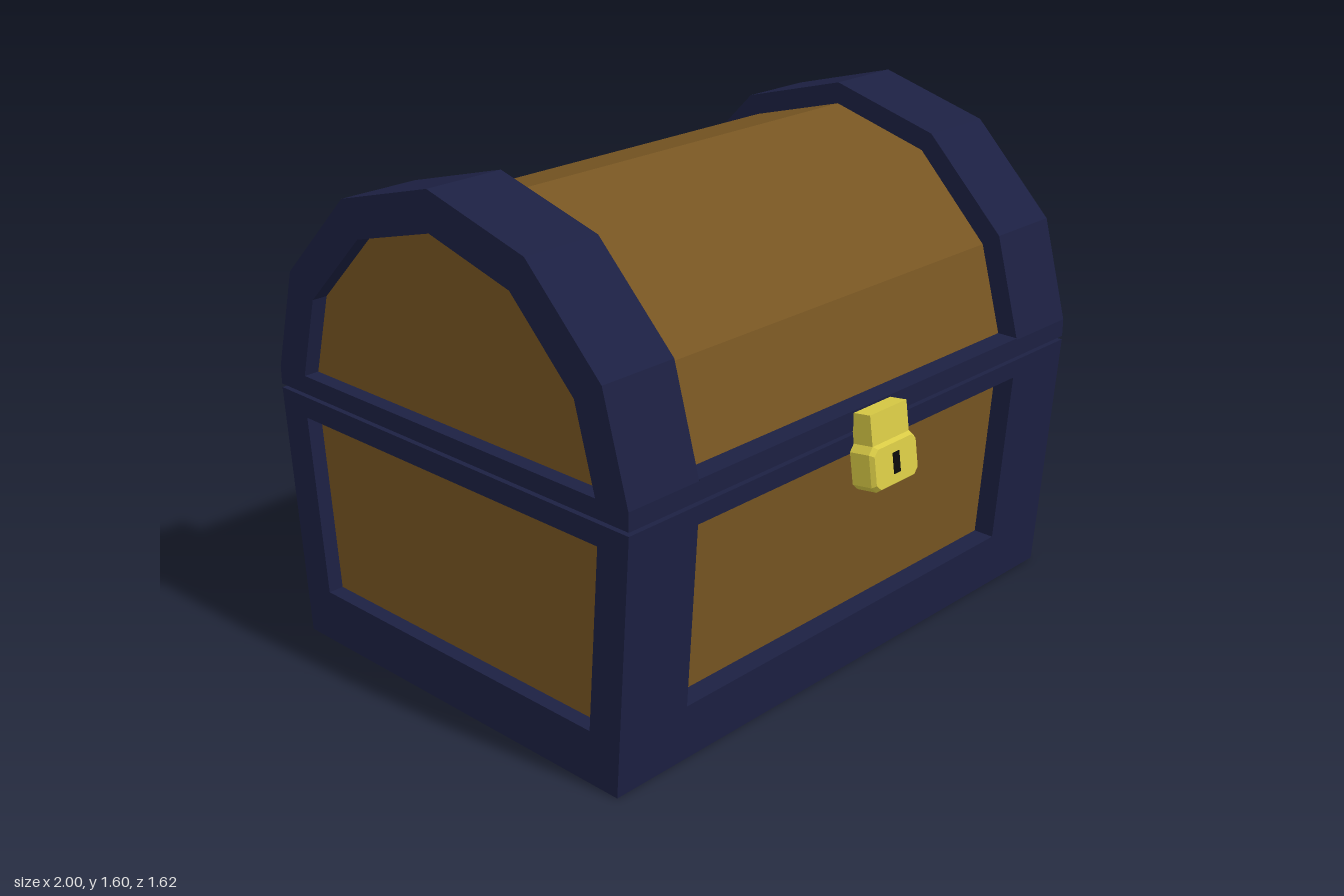
import * as THREE from 'three';

const navy = new THREE.MeshStandardMaterial({ color: 0x1c2042, flatShading: true });
const wood = new THREE.MeshStandardMaterial({ color: 0x775522, flatShading: true });
const gold = new THREE.MeshStandardMaterial({ color: 0xd8ca45, flatShading: true });
const black = new THREE.MeshStandardMaterial({ color: 0x0a0a0a, flatShading: true });

const toPoints = (list) => list.map(([a, b]) => new THREE.Vector2(a, b));
// Mirrors a half outline (z, y), listed bottom to top, into a full one
const mirror = (half) => [...half, ...half.filter(([z]) => z > 0).reverse().map(([z, y]) => [-z, y])];

// Extrudes a (z, y) outline along x from x0 to x1
function prism(name, outline, x0, x1, material, hole) {
  const shape = new THREE.Shape(toPoints(outline));
  if (hole) shape.holes.push(new THREE.Path(toPoints(hole)));
  const geo = new THREE.ExtrudeGeometry(shape, { depth: x1 - x0, bevelEnabled: false });
  geo.rotateY(-Math.PI / 2).translate(x1, 0, 0);
  const mesh = new THREE.Mesh(geo, material);
  mesh.name = name;
  return mesh;
}

// Front half-depth of the tapered base at height y
const baseZ = (y) => 0.695 + 0.06 * y / 0.82;

function createLatch() {
  const latch = new THREE.Group();
  latch.name = 'latch';
  const add = (name, geo, material, x, y, z) => {
    const mesh = new THREE.Mesh(geo, material);
    mesh.name = name;
    mesh.position.set(x, y, z);
    latch.add(mesh);
  };
  add('latchHasp', new THREE.BoxGeometry(0.17, 0.14, 0.07), gold, 0, 0.05, 0);

  // Lock body with clipped corners, its front face shrunk into a bevel
  const w = 0.105, c = 0.02, top = 0.025, low = -0.115;
  const outline = toPoints([[-w + c, low], [w - c, low], [w, low + c], [w, top - c],
    [w - c, top], [-w + c, top], [-w, top - c], [-w, low + c]]);
  const geo = new THREE.ExtrudeGeometry(new THREE.Shape(outline), { depth: 0.084, steps: 2, bevelEnabled: false });
  const pos = geo.attributes.position;
  for (let i = 0; i < pos.count; i++) {
    const z = pos.getZ(i);
    if (z > 0.08) pos.setXY(i, pos.getX(i) * 0.92, -0.045 + (pos.getY(i) + 0.045) * 0.88);
    else if (z > 0.01) pos.setZ(i, 0.07);
  }
  geo.computeVertexNormals();
  add('lockBody', geo, gold, 0, 0, -0.035);
  add('keyhole', new THREE.BoxGeometry(0.03, 0.065, 0.01), black, 0, -0.045, 0.046);
  latch.position.set(0, 0.773, 0.8);
  latch.rotation.x = -0.14;
  return latch;
}

export function createModel() {
  const model = new THREE.Group();
  model.name = 'chest';
  const base = new THREE.Group();
  base.name = 'base';
  const lid = new THREE.Group();
  lid.name = 'lid';
  model.add(base, lid);

  // Wooden bodies, set back from the frame
  base.add(prism('baseBody', mirror([[0.63, 0.07], [0.685, 0.815]]), -0.95, 0.95, wood));
  lid.add(prism('lidBody', mirror([[0.685, 0.84], [0.685, 0.89], [0.605, 1.175], [0.35, 1.435], [0, 1.53]]), -0.95, 0.95, wood));

  // Thick end frames with an opening over each side panel
  const baseOuter = mirror([[baseZ(0), 0], [baseZ(0.82), 0.82]]);
  const baseHole = mirror([[0.59, 0.17], [0.636, 0.752]]);
  const lidOuter = mirror([[0.755, 0.832], [0.755, 0.89], [0.665, 1.215], [0.385, 1.495], [0, 1.6]]);
  const lidHole = mirror([[0.632, 0.89], [0.56, 1.15], [0.322, 1.388], [0, 1.475]]);
  for (const [side, x0] of [['left', 0.735], ['right', -1]]) {
    base.add(prism(side + 'BaseFrame', baseOuter, x0, x0 + 0.265, navy, baseHole));
    lid.add(prism(side + 'LidFrame', lidOuter, x0, x0 + 0.265, navy, lidHole));
  }

  // Rails between the end frames, front and back
  for (const [side, s] of [['front', 1], ['back', -1]]) {
    const rail = (group, name, points) =>
      group.add(prism(side + name, points.map(([z, y]) => [z * s, y]), -0.735, 0.735, navy));
    rail(base, 'BottomRail', [[0.575, 0], [baseZ(0), 0], [baseZ(0.18), 0.18], [0.575, 0.18]]);
    rail(base, 'TopRail', [[0.6, 0.76], [baseZ(0.76), 0.76], [baseZ(0.82), 0.82], [0.6, 0.82]]);
    rail(lid, 'LidRail', [[0.6, 0.832], [0.755, 0.832], [0.755, 0.895], [0.6, 0.895]]);
  }

  // Narrow core closing the seam between base and lid
  const seam = new THREE.Mesh(new THREE.BoxGeometry(1.92, 0.03, 1.44), navy);
  seam.name = 'seam';
  seam.position.y = 0.826;
  base.add(seam);

  base.position.z = lid.position.z = -0.045;
  const latch = createLatch();
  latch.position.z = 0.752;
  model.add(latch);
  return model;
}
